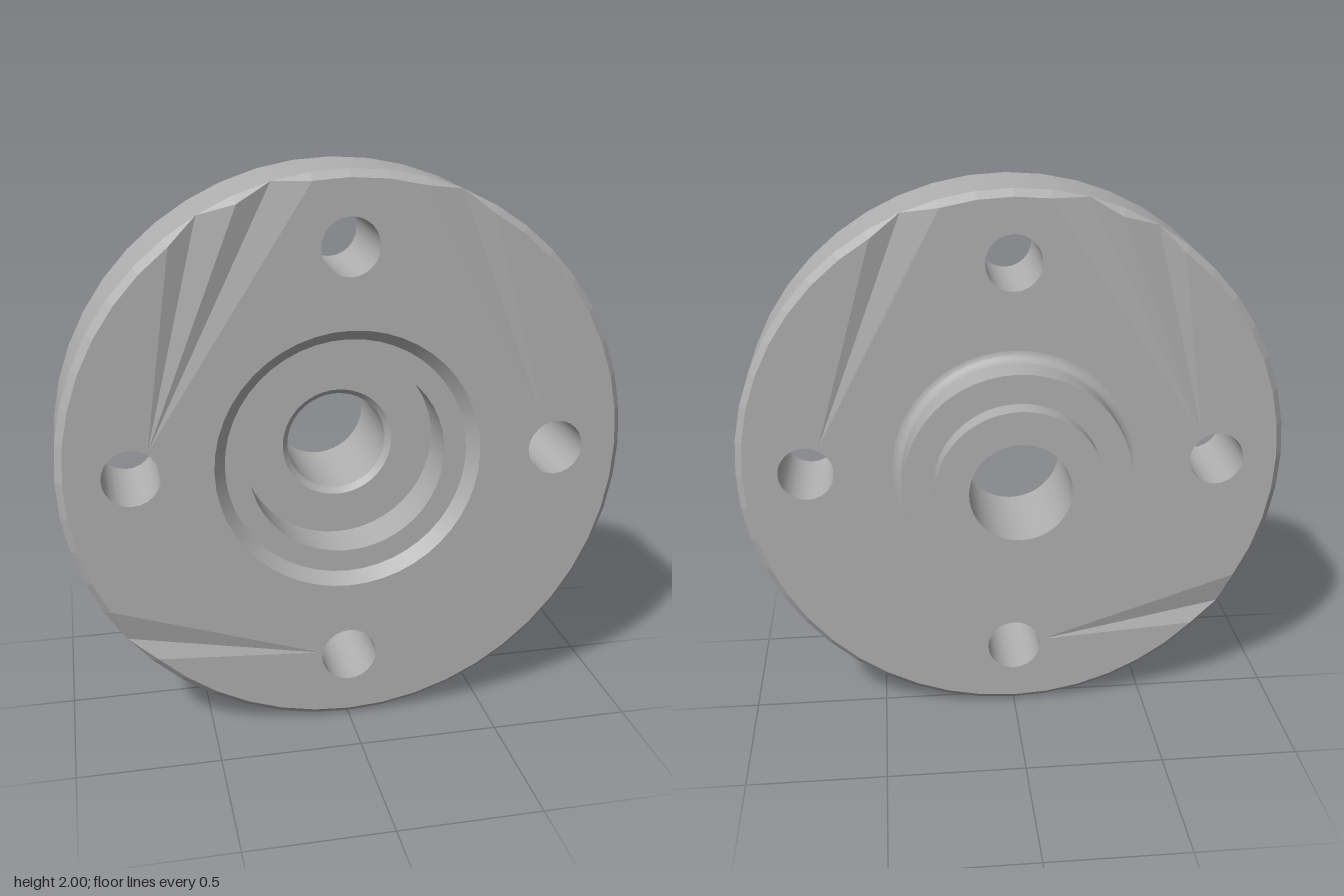
import * as THREE from 'three';

const SEGMENTS = 48;
const FRONT = 0.3, BACK = -0.06;   // faces of the disc
const BEVEL = 0.025;
const BOLT_CIRCLE = 0.75, BOLT_RADIUS = 0.1;

// Shallow creases from a bolt hole to the rim: start point, first and last rim step, lowered steps
const CREASES = [
  { apex: [0.7, 0.1], from: 8, to: 10, low: [9] },
  { apex: [-0.69, 0.09], from: 13, to: 17, low: [14, 16] },
  { apex: [-0.108, -0.73], from: 28, to: 30, low: [29] },
];

const boltCentres = [0, 1, 2, 3].map((i) => [
  BOLT_CIRCLE * Math.cos(i * Math.PI / 2), BOLT_CIRCLE * Math.sin(i * Math.PI / 2)]);

function circle(radius, count, cx = 0, cy = 0) {
  return Array.from({ length: count }, (_, i) => {
    const a = i / count * Math.PI * 2;
    return new THREE.Vector2(cx + radius * Math.cos(a), cy + radius * Math.sin(a));
  });
}

// One disc face with its bevel, bolt holes, centre opening and creases
function faceGeometry(openingRadius, z, side) {
  const inner = circle(1 - BEVEL, SEGMENTS), outer = circle(1, SEGMENTS);
  const lowered = new Set(CREASES.flatMap((c) => c.low));
  const bottom = (i) => [outer[i % SEGMENTS].x, outer[i % SEGMENTS].y, -BEVEL];
  const top = (i) => lowered.has(i % SEGMENTS)
    ? bottom(i) : [inner[i % SEGMENTS].x, inner[i % SEGMENTS].y, 0];
  const positions = [];
  const triangle = (a, b, c) => {
    for (const p of side > 0 ? [a, b, c] : [a, c, b]) positions.push(p[0], p[1], z + side * p[2]);
  };

  // Flat part, stepping inward at each crease
  const contour = [];
  for (let i = 0; i < SEGMENTS; i++) {
    const crease = CREASES.find((c) => i > c.from && i < c.to);
    if (!crease) contour.push(inner[i]);
    else if (i === crease.from + 1) contour.push(new THREE.Vector2(...crease.apex));
  }
  const holes = [circle(openingRadius, SEGMENTS).reverse(),
    ...boltCentres.map(([x, y]) => circle(BOLT_RADIUS, 24, x, y).reverse())];
  const points = [contour, ...holes].flat();
  for (const f of THREE.ShapeUtils.triangulateShape(contour, holes)) {
    triangle(...f.map((i) => [points[i].x, points[i].y, 0]));
  }

  // Crease facets
  for (const c of CREASES) {
    for (let i = c.from; i < c.to; i++) triangle([...c.apex, 0], top(i), top(i + 1));
  }
  // Bevel
  for (let i = 0; i < SEGMENTS; i++) {
    if (!lowered.has((i + 1) % SEGMENTS)) triangle(bottom(i), bottom(i + 1), top(i + 1));
    if (!lowered.has(i)) triangle(bottom(i), top(i + 1), top(i));
  }
  const geometry = new THREE.BufferGeometry();
  geometry.setAttribute('position', new THREE.Float32BufferAttribute(positions, 3));
  geometry.computeVertexNormals();
  return geometry;
}

export function createModel() {
  const model = new THREE.Group();
  model.name = 'flange';
  const metal = new THREE.MeshStandardMaterial({ color: 0xb0b0b0 });
  metal.name = 'grey metal';

  const add = (name, geometry, parent = model) => {
    const mesh = new THREE.Mesh(geometry, metal);
    mesh.name = name;
    parent.add(mesh);
    return mesh;
  };
  // Turned surface about z from [radius, z] points
  const turned = (name, profile, parent) => add(name, new THREE.LatheGeometry(
    profile.map(([r, z]) => new THREE.Vector2(r, z)), SEGMENTS).rotateX(Math.PI / 2), parent);
  // Turned part with a sharp edge at every profile point
  const turnedSharp = (name, profile) => {
    const part = new THREE.Group();
    part.name = name;
    model.add(part);
    for (let i = 1; i < profile.length; i++) turned(name + 'Surface', [profile[i - 1], profile[i]], part);
  };

  // Disc
  add('frontFace', faceGeometry(0.47, FRONT, 1));
  add('backFace', faceGeometry(0.44, BACK, -1));
  turned('rim', [[1, BACK + BEVEL], [1, FRONT - BEVEL]]);

  // Stepped hub on the back, with a fillet where it meets the disc
  turnedSharp('hub', [[0.18, -0.3], [0.3, -0.3], [0.3, -0.22], [0.405, -0.22], [0.405, -0.095]]);
  const fillet = [];
  for (let i = 0; i <= 5; i++) {
    const a = i / 5 * Math.PI / 2;
    fillet.push([0.44 - 0.035 * Math.cos(a), -0.095 + 0.035 * Math.sin(a)]);
  }
  turned('hubFillet', fillet);

  // Recess, ledge and chamfered bore
  turnedSharp('recess', [[0.47, FRONT], [0.43, 0.26], [0.35, 0.26], [0.35, 0.09], [0.2, 0.09]]);
  turnedSharp('bore', [[0.2, 0.09], [0.18, 0.07], [0.18, -0.3]]);

  // Bolt hole walls
  for (const [x, y] of boltCentres) {
    const wall = new THREE.LatheGeometry(
      [new THREE.Vector2(BOLT_RADIUS, FRONT), new THREE.Vector2(BOLT_RADIUS, BACK)], 24);
    add('boltHole', wall.rotateX(Math.PI / 2)).position.set(x, y, 0);
  }

  for (const part of model.children) part.position.y += 1;
  return model;
}
